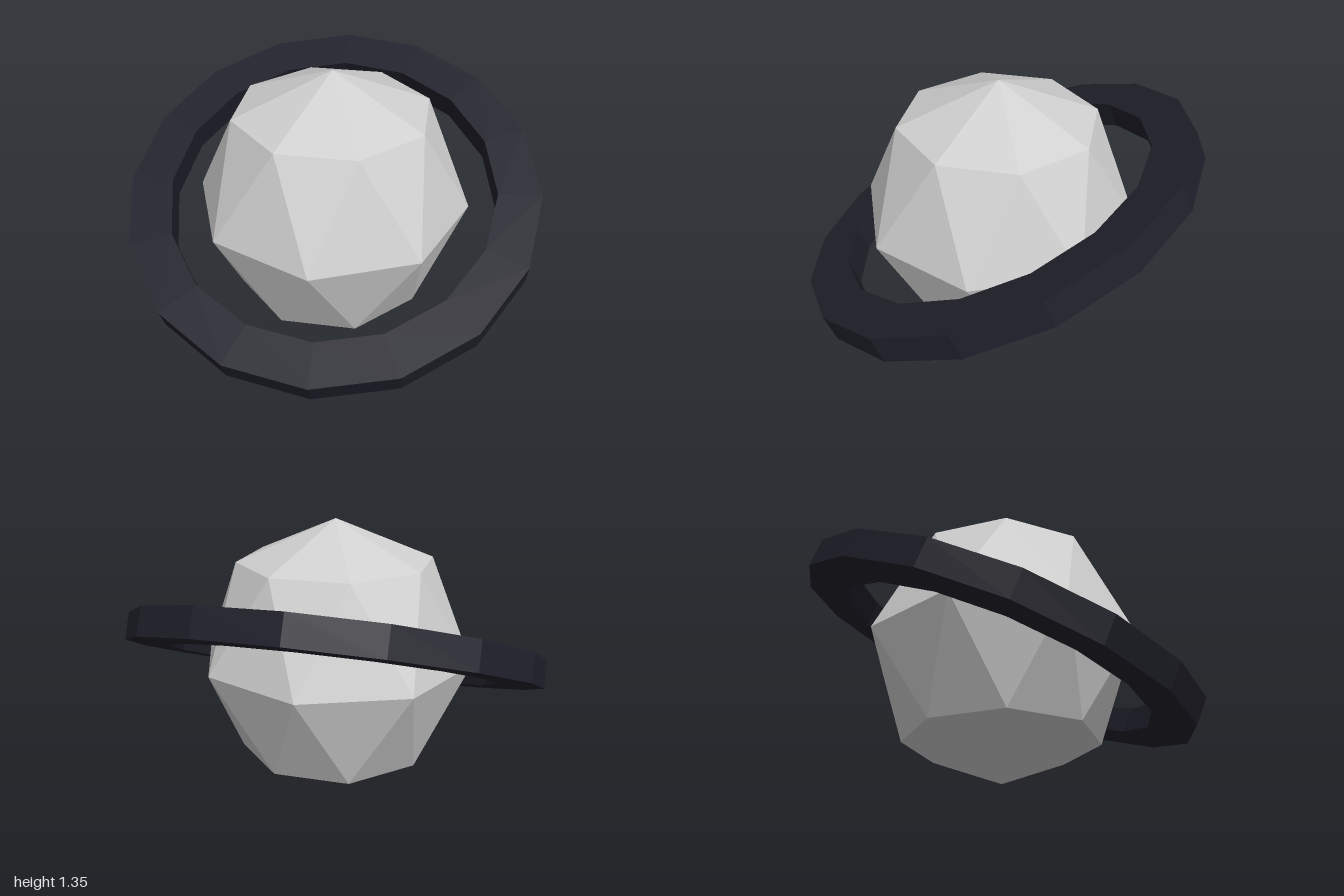
import * as THREE from 'three';
import { ConvexGeometry } from 'three/addons/geometries/ConvexGeometry.js';

const RADIUS = 0.675;

function createMaterial(name, color) {
  const material = new THREE.MeshStandardMaterial({ color, flatShading: true });
  material.name = name;
  return material;
}

// Faceted globe: two poles and three staggered octagons at 45 degree latitudes
function createGlobe(material) {
  const points = [new THREE.Vector3(0, RADIUS, 0), new THREE.Vector3(0, -RADIUS, 0)];
  for (const latitude of [-1, 0, 1]) {
    const elevation = latitude * Math.PI / 4;
    const offset = latitude === 0 ? 0 : Math.PI / 8;
    for (let i = 0; i < 8; i++) {
      const angle = i * Math.PI / 4 + offset;
      points.push(new THREE.Vector3(
        RADIUS * Math.cos(elevation) * Math.cos(angle),
        RADIUS * Math.sin(elevation),
        RADIUS * Math.cos(elevation) * Math.sin(angle)
      ));
    }
  }
  const globe = new THREE.Mesh(new ConvexGeometry(points), material);
  globe.name = 'globe';
  return globe;
}

// Sixteen-sided band with a rectangular section, tilted about the globe
function createRing(material) {
  const inner = 0.81, outer = 1.021, half = 0.067;
  const profile = [
    [inner, -half], [outer, -half], [outer, half], [inner, half], [inner, -half]
  ].map(([x, y]) => new THREE.Vector2(x, y));
  const geometry = new THREE.LatheGeometry(profile, 16).toNonIndexed();
  geometry.computeVertexNormals();
  const ring = new THREE.Mesh(geometry, material);
  ring.name = 'ring';
  ring.rotation.set(0.287, 0, 0.314, 'ZXY');
  return ring;
}

export function createModel() {
  const model = new THREE.Group();
  model.name = 'ringedPlanet';
  const planet = new THREE.Group();
  planet.name = 'planet';
  planet.position.y = RADIUS;
  planet.add(
    createGlobe(createMaterial('light grey', 0xd0d0d0)),
    createRing(createMaterial('dark navy', 0x1f1f2a))
  );
  model.add(planet);
  return model;
}
